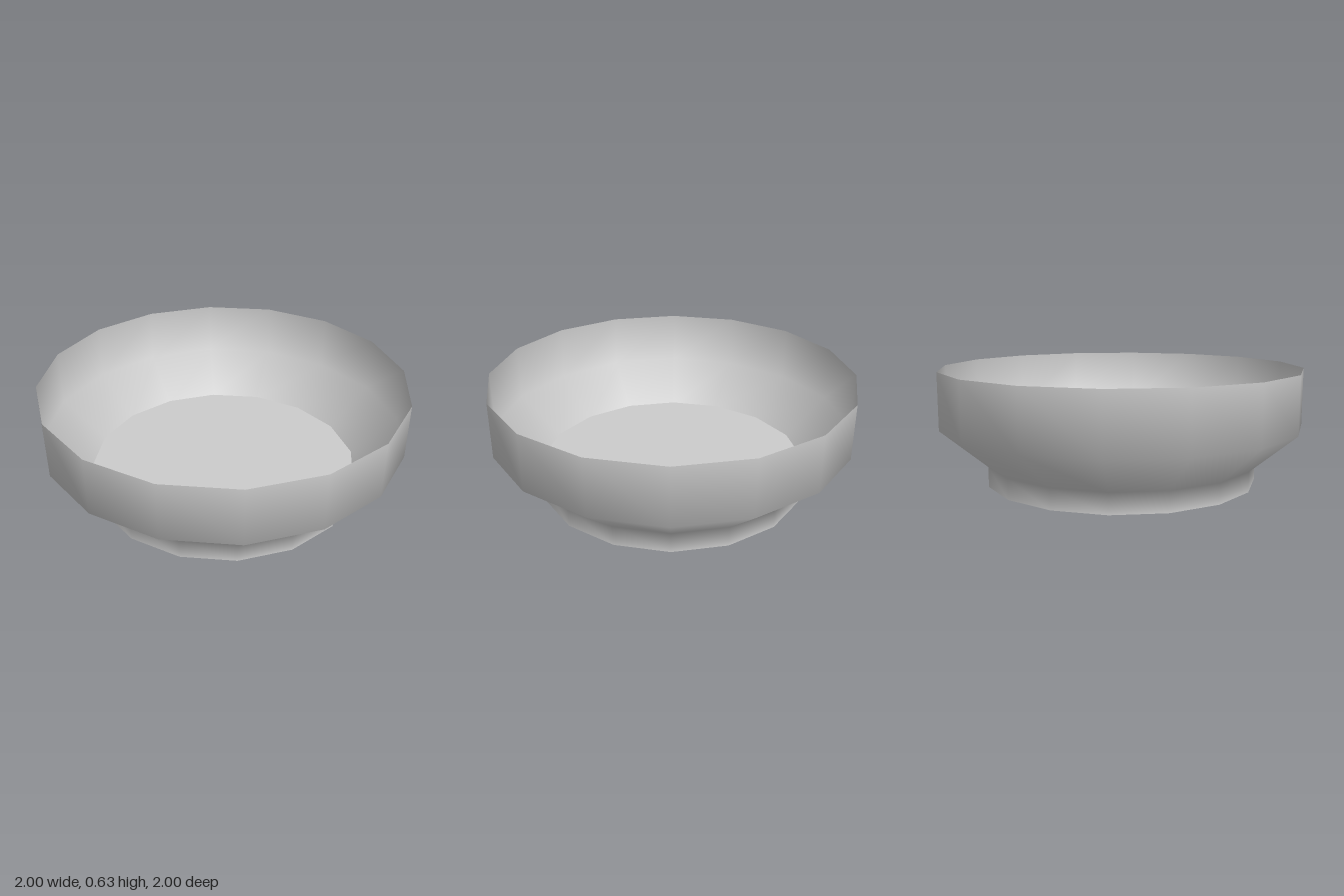
import * as THREE from 'three';

const SIDES = 16;

export function createModel() {
  const model = new THREE.Group();
  model.name = 'bowl';
  const material = new THREE.MeshStandardMaterial({ color: 0xcccccc, side: THREE.DoubleSide });

  // Thin wall: upright foot ring, flared shoulder, upright rim
  const profile = [[0.75, 0], [0.75, 0.11], [1, 0.32], [1, 0.63]].map(([r, y]) => new THREE.Vector2(r, y));
  const wall = new THREE.Mesh(new THREE.LatheGeometry(profile, SIDES), material);
  wall.name = 'wall';

  // Flat floor, raised above the open underside of the foot
  const floor = new THREE.Mesh(new THREE.CircleGeometry(0.75, SIDES).rotateX(-Math.PI / 2), material);
  floor.position.y = 0.11;
  floor.name = 'floor';

  model.add(wall, floor);
  return model;
}
